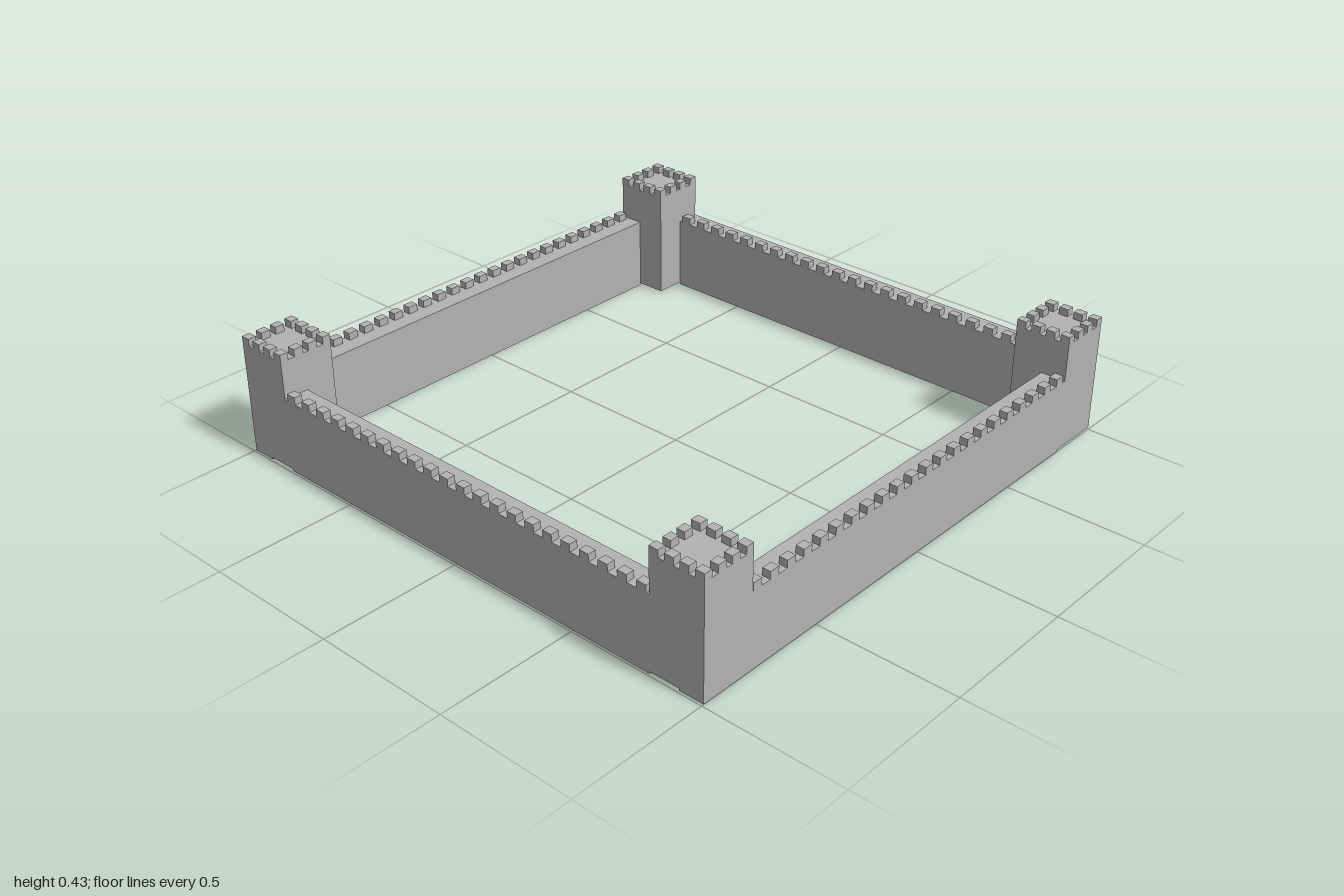
import * as THREE from 'three';

const stone = new THREE.MeshStandardMaterial({ color: 0xb2b2b2 });
stone.name = 'stone grey';

const WALL_H = 0.27, WALL_T = 0.09, TOWER = 0.2, TOWER_H = 0.405;
const MERLON_H = 0.026, MERLON_T = 0.03;

// Box given by its minimum and maximum corners
function block(parent, name, [x0, y0, z0], [x1, y1, z1]) {
  const mesh = new THREE.Mesh(new THREE.BoxGeometry(x1 - x0, y1 - y0, z1 - z0), stone);
  mesh.position.set((x0 + x1) / 2, (y0 + y1) / 2, (z0 + z1) / 2);
  mesh.name = name;
  parent.add(mesh);
}

// Evenly spaced merlons between two ends of a line, along x or z
function merlonRow(parent, axis, from, to, across, y, count, width) {
  const step = count > 1 ? (to - from - width) / (count - 1) : 0;
  for (let i = 0; i < count; i++) {
    const a = from + i * step, b = a + width;
    if (axis === 'x') block(parent, 'merlon', [a, y, across], [b, y + MERLON_H, across + MERLON_T]);
    else block(parent, 'merlon', [across, y, a], [across + MERLON_T, y + MERLON_H, b]);
  }
}

// Square tower with a crenellated rim
function tower(name, x, z) {
  const group = new THREE.Group();
  group.name = name;
  const h = TOWER / 2;
  block(group, 'towerBody', [-h, 0.008, -h], [h, TOWER_H, h]);
  for (const across of [-h, h - MERLON_T]) {
    merlonRow(group, 'x', -h, h, across, TOWER_H, 4, 0.034);
    merlonRow(group, 'z', -h + 0.055, h - 0.055, across, TOWER_H, 2, 0.034);
  }
  group.position.set(x, 0, z);
  return group;
}

// Wall with one row of merlons on its walkway
function wall(name, axis, min, max, across, count) {
  const group = new THREE.Group();
  group.name = name;
  block(group, 'wallBody', [min[0], 0, min[1]], [max[0], WALL_H, max[1]]);
  merlonRow(group, axis, -0.785, 0.79, across, WALL_H, count, 0.037);
  return group;
}

export function createModel() {
  const model = new THREE.Group();
  model.name = 'castleWalls';
  const e = 0.9, zFront = 0.992;

  // Corner towers
  for (const [side, x] of [['Left', e], ['Right', -e]]) {
    model.add(tower('front' + side + 'Tower', x, zFront - TOWER / 2));
    model.add(tower('back' + side + 'Tower', x, -e));
  }

  // Curtain walls; the back one carries its merlons on the inner edge
  model.add(wall('frontWall', 'x', [-0.8, zFront - WALL_T], [0.8, zFront], zFront - MERLON_T, 22));
  model.add(wall('backWall', 'x', [-0.8, -1], [0.8, -1 + WALL_T], -1 + WALL_T - MERLON_T, 22));
  model.add(wall('leftWall', 'z', [1 - WALL_T, -0.8], [1, zFront], 1 - MERLON_T, 22));
  model.add(wall('rightWall', 'z', [-1, -0.8], [-1 + WALL_T, zFront], -1, 24));
  return model;
}
